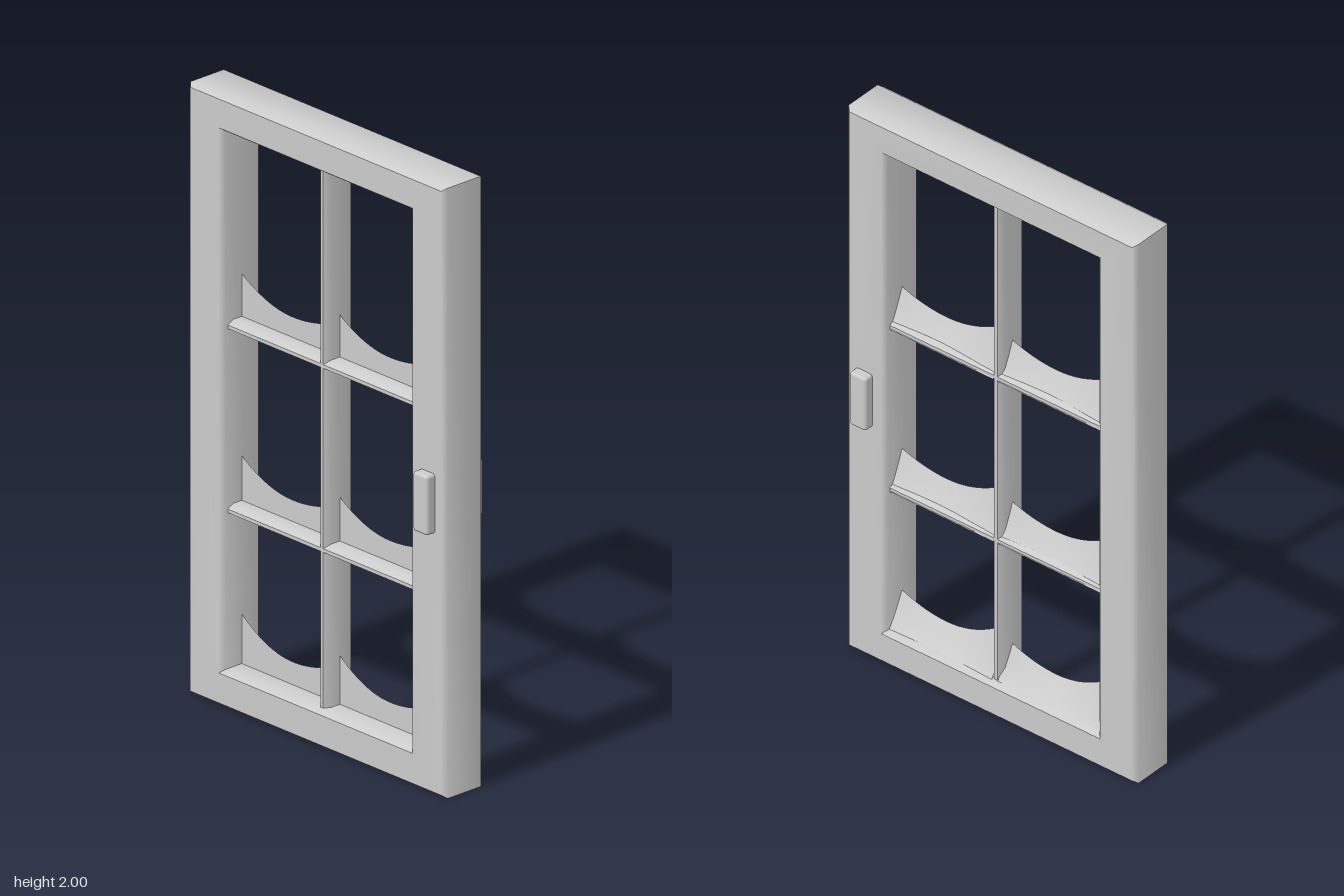
import * as THREE from 'three';
import { toCreasedNormals } from 'three/addons/utils/BufferGeometryUtils.js';
import { RoundedBoxGeometry } from 'three/addons/geometries/RoundedBoxGeometry.js';

const grey = new THREE.MeshStandardMaterial({ color: 0xcccccc });
const INNER = { x: 0.415, bottom: 0.12, top: 1.885 };

// Skins a list of rings (arrays of [x, y, z]); each ring is a closed section.
function loft(rings, closed) {
  const n = rings[0].length, index = [];
  for (let i = 0; i < rings.length - (closed ? 0 : 1); i++) {
    const a = i * n, b = ((i + 1) % rings.length) * n;
    for (let k = 0; k < n; k++) {
      const m = (k + 1) % n;
      index.push(a + k, b + k, b + m, a + k, b + m, a + m);
    }
  }
  const geometry = new THREE.BufferGeometry();
  geometry.setAttribute('position', new THREE.Float32BufferAttribute(rings.flat(2), 3));
  geometry.setIndex(index);
  return toCreasedNormals(geometry, 0.9);
}

function addPart(group, name, geometry) {
  const mesh = new THREE.Mesh(geometry, grey);
  mesh.name = name;
  group.add(mesh);
  return mesh;
}

// Mitred surround with bevelled edges: section is [outer-to-inner fraction, z]
function frameGeometry() {
  const d = 0.083, e = 0.068, f = 0.09;
  const section = [[0, -e], [0, e], [f, d], [1 - f, d], [1, e], [1, -e], [1 - f, -d], [f, -d]];
  const corners = [[1, 1], [-1, 1], [-1, -1], [1, -1]];
  const lerp = THREE.MathUtils.lerp;
  return loft(corners.map(([sx, sy]) => section.map(([t, z]) => [
    sx * lerp(0.568, INNER.x, t),
    sy > 0 ? lerp(2, INNER.top, t) : lerp(0, INNER.bottom, t),
    z,
  ])), true);
}

// Glazing bar along y, with broad bevels leading to narrow front and back edges
function barGeometry(length) {
  const w = 0.018, s = 0.036, n = 0.006, d = 0.058;
  const shape = new THREE.Shape([
    [w, -s], [w, s], [n, d], [-n, d], [-w, s], [-w, -s], [-n, -d], [n, -d],
  ].map(([x, y]) => new THREE.Vector2(x, y)));
  const geometry = new THREE.ExtrudeGeometry(shape, { depth: length, bevelEnabled: false });
  geometry.translate(0, 0, -length / 2).rotateX(Math.PI / 2);
  return toCreasedNormals(geometry, 0.9);
}

// Drift lying in a pane: upright front, sagging crest, hollow slope to the back
function driftGeometry(x0, x1, base, left, low, right, depth) {
  const rings = [], steps = 20, slope = 5;
  for (let i = 0; i <= steps; i++) {
    const t = i / steps, mid = 0.56;
    const q = t < mid ? 1 - t / mid : (t - mid) / (1 - mid);
    const top = low + ((t < mid ? left : right) - low) * q * q;
    const x = x0 + (x1 - x0) * t;
    const ring = [[x, base, 0]];
    for (let k = 0; k <= slope; k++) {
      const s = k / slope;
      ring.push([x, base + (top - base) * Math.pow(1 - s, 1.3), -depth * s]);
    }
    rings.push(ring);
  }
  return loft(rings, false);
}

export function createModel() {
  const group = new THREE.Group();
  group.name = 'window';
  addPart(group, 'frame', frameGeometry());

  // Glazing bars
  const height = INNER.top - INNER.bottom;
  addPart(group, 'verticalBar', barGeometry(height + 0.03))
    .position.y = (INNER.top + INNER.bottom) / 2;
  for (const y of [0.637, 1.24]) {
    const bar = addPart(group, 'horizontalBar', barGeometry(INNER.x * 2 + 0.03));
    bar.rotation.z = Math.PI / 2;
    bar.position.y = y;
  }

  // Drifts, two per row: base, left crest, low point, right crest, depth
  const rows = [
    [0.105, 0.287, 0.195, 0.235, 0.075],
    [0.63, 0.805, 0.725, 0.76, 0.06],
    [1.232, 1.402, 1.325, 1.36, 0.06],
  ];
  for (const row of rows) {
    addPart(group, 'leftPaneDrift', driftGeometry(-0.42, -0.01, ...row));
    addPart(group, 'rightPaneDrift', driftGeometry(0.01, 0.42, ...row));
  }

  // Handle on both faces
  for (const side of [1, -1]) {
    addPart(group, 'handle', new RoundedBoxGeometry(0.065, 0.195, 0.06, 2, 0.01))
      .position.set(0.495, 0.957, side * 0.086);
  }
  return group;
}
